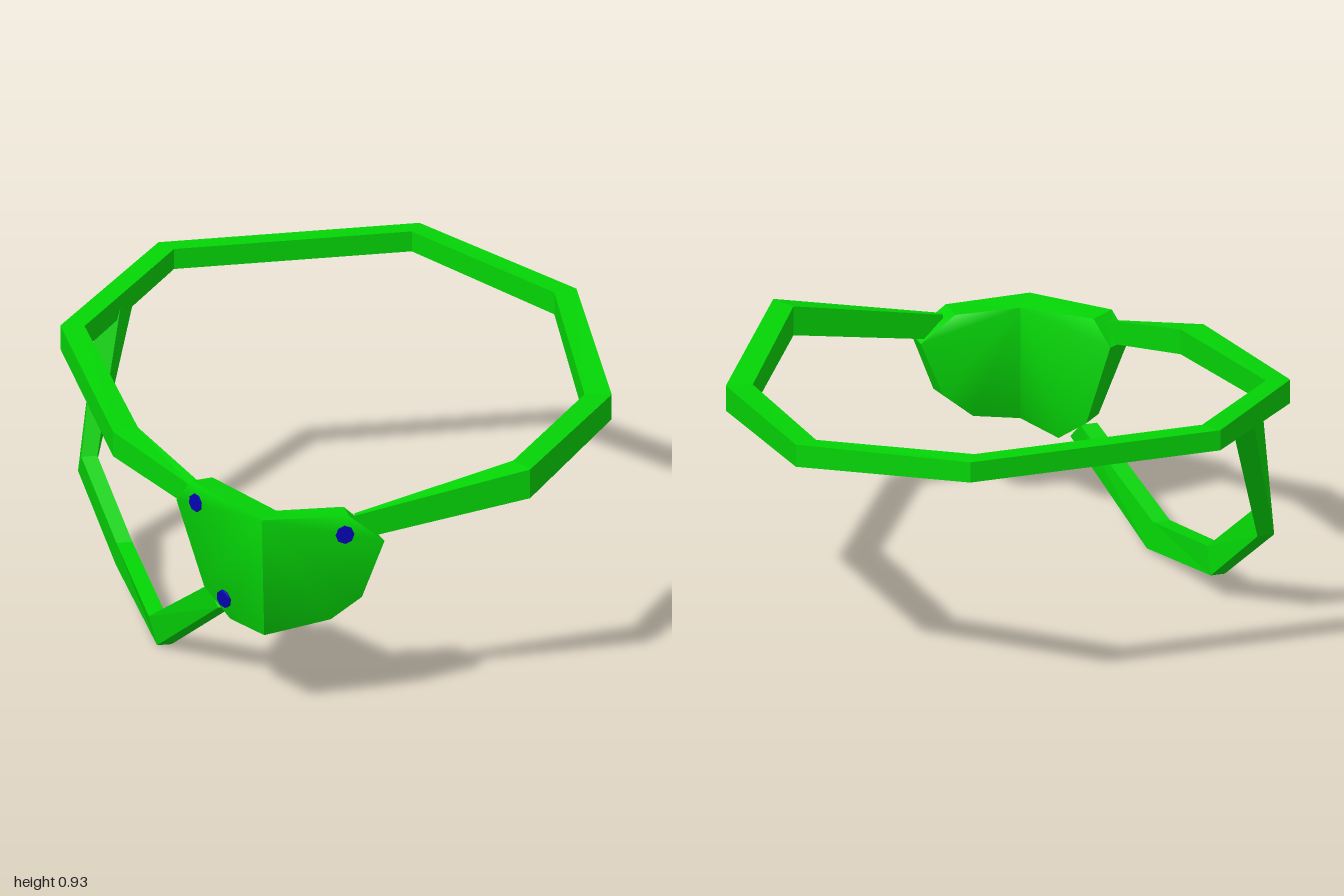
import * as THREE from 'three';

const green = new THREE.MeshStandardMaterial({ color: 0x04d406 });
green.name = 'strapGreen';
const blue = new THREE.MeshStandardMaterial({ color: 0x0404b0 });
blue.name = 'rivetBlue';

function indexed(points, index) {
  const g = new THREE.BufferGeometry();
  g.setAttribute('position', new THREE.Float32BufferAttribute(points.flat(), 3));
  g.setIndex(index);
  return g;
}

function flat(geometry) {
  const g = geometry.toNonIndexed();
  g.computeVertexNormals();
  return g;
}

function add(parent, name, geometry, material) {
  const mesh = new THREE.Mesh(geometry, material);
  mesh.name = name;
  parent.add(mesh);
  return mesh;
}

// Four-sided strap; each section is outer bottom, outer top, inner top, inner bottom
function strap(sections) {
  const index = [];
  const last = (sections.length - 1) * 4;
  for (let s = 0; s < last; s += 4) {
    for (let k = 0; k < 4; k++) {
      const a = s + k, b = s + (k + 1) % 4;
      index.push(a, b, b + 4, a, b + 4, a + 4);
    }
  }
  index.push(0, 3, 2, 0, 2, 1, last, last + 1, last + 2, last, last + 2, last + 3);
  return flat(indexed(sections.flat(), index));
}

// Thick panel with smooth faces and a flat rim; the edge at openEdge joins the other panel
function panel(parent, name, outer, inner, openEdge) {
  const n = outer.length, faces = [], rim = [];
  for (let i = 1; i < n - 1; i++) faces.push(0, i, i + 1, n, n + i + 1, n + i);
  for (let i = 0; i < n; i++) {
    if (i === openEdge) continue;
    const j = (i + 1) % n;
    rim.push(i, n + i, n + j, i, n + j, j);
  }
  const points = [...outer, ...inner];
  const body = indexed(points, [...faces, ...rim]);
  body.computeVertexNormals();
  body.setIndex(faces);
  add(parent, name, body, green);
  add(parent, name + 'Rim', flat(indexed(points, rim)), green);
}

export function createModel() {
  const model = new THREE.Group();
  model.name = 'eyePatch';

  // Head band: outer x, z, inner x, z, bottom y, top y
  const band = [
    [-0.655, 0.64, -0.61, 0.66, 0.63, 0.71],
    [-0.86, 0.30, -0.77, 0.28, 0.70, 0.79],
    [-0.89, -0.48, -0.81, -0.46, 0.78, 0.865],
    [-0.45, -1.0, -0.41, -0.93, 0.852, 0.925],
    [0.45, -1.0, 0.41, -0.93, 0.852, 0.925],
    [0.89, -0.48, 0.81, -0.46, 0.78, 0.86],
    [0.86, 0.30, 0.77, 0.28, 0.70, 0.79],
    [0.45, 0.96, 0.41, 0.87, 0.71, 0.815],
    [-0.15, 0.95, -0.15, 0.93, 0.60, 0.69],
  ].map(([ox, oz, ix, iz, y0, y1]) => [[ox, y0, oz], [ox, y1, oz], [ix, y1, iz], [ix, y0, iz]]);
  add(model, 'headBand', strap(band), green);

  // Lower strap: bottom edge (outer x, inner x, y, z), then top edge
  const lower = [
    [-0.575, -0.525, 0.285, 0.70, -0.60, -0.54, 0.345, 0.64],
    [-0.71, -0.66, 0.0, 0.31, -0.735, -0.675, 0.10, 0.29],
    [-0.75, -0.70, 0.085, -0.215, -0.755, -0.70, 0.18, -0.18],
    [-0.825, -0.765, 0.32, -0.50, -0.825, -0.77, 0.395, -0.44],
    [-0.65, -0.57, 0.885, -0.755, -0.72, -0.64, 0.88, -0.665],
  ].map(([bo, bi, by, bz, to, ti, ty, tz]) => [[bo, by, bz], [to, ty, tz], [ti, ty, tz], [bi, by, bz]]);
  add(model, 'lowerStrap', strap(lower), green);

  // Patch: front and side panels meeting at a vertical ridge
  const patch = new THREE.Group();
  patch.name = 'patch';
  model.add(patch);
  const top = [-0.48, 0.71, 0.98], bottom = [-0.47, 0.287, 0.975];
  const topIn = [-0.41, 0.70, 0.88], bottomIn = [-0.41, 0.30, 0.88];
  panel(patch, 'frontPanel',
    [top, bottom, [-0.24, 0.325, 0.97], [-0.135, 0.405, 0.985], [-0.06, 0.61, 1.0], [-0.18, 0.705, 0.985]],
    [topIn, bottomIn, [-0.24, 0.33, 0.88], [-0.14, 0.41, 0.90], [-0.065, 0.60, 0.915], [-0.18, 0.70, 0.89]], 0);
  panel(patch, 'sidePanel',
    [top, [-0.66, 0.74, 0.66], [-0.70, 0.65, 0.60], [-0.62, 0.36, 0.68], [-0.55, 0.275, 0.78], bottom],
    [topIn, [-0.58, 0.73, 0.62], [-0.62, 0.64, 0.565], [-0.55, 0.36, 0.61], [-0.49, 0.275, 0.72], bottomIn], 5);

  // Nearly flush rivets: centre on the panel surface and outward direction
  const up = new THREE.Vector3(0, 1, 0);
  [
    [[-0.195, 0.64, 0.994], [-0.03, 0.05, 1]],
    [[-0.65, 0.67, 0.686], [-0.868, 0.057, 0.494]],
    [[-0.57, 0.345, 0.77], [-0.855, -0.1, 0.515]],
  ].forEach(([position, out]) => {
    const rivet = add(patch, 'rivet', new THREE.CylinderGeometry(0.031, 0.033, 0.009, 8), blue);
    rivet.position.set(...position);
    rivet.quaternion.setFromUnitVectors(up, new THREE.Vector3(...out).normalize());
  });

  return model;
}
